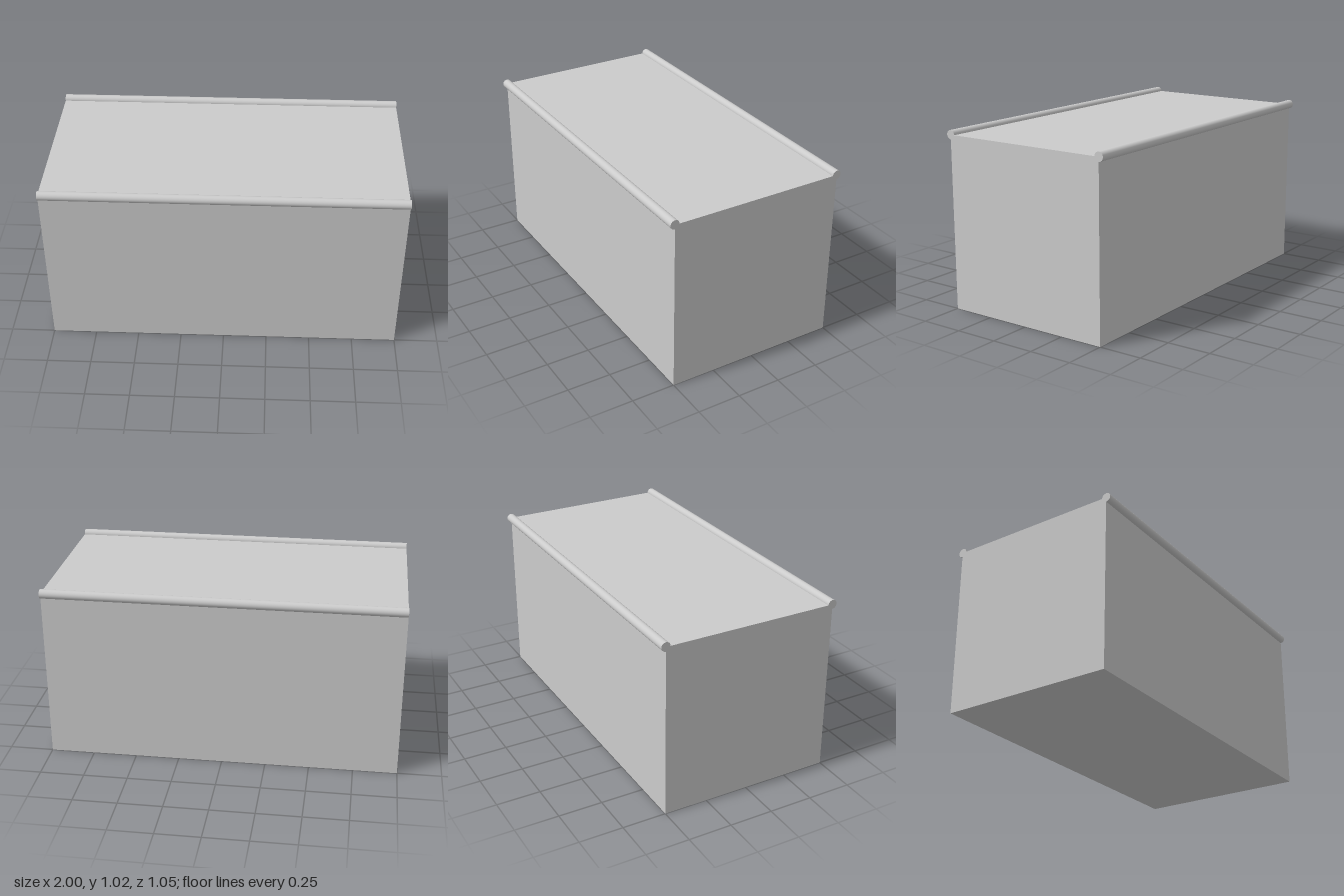
import * as THREE from 'three';

const LENGTH = 2, HEIGHT = 0.99, DEPTH = 1, RAIL_RADIUS = 0.026;

export function createModel() {
  const model = new THREE.Group();
  const material = new THREE.MeshStandardMaterial({ color: 0xcccccc });

  // Solid box body standing on the ground
  const body = new THREE.Mesh(new THREE.BoxGeometry(LENGTH, HEIGHT, DEPTH), material);
  body.name = 'body';
  body.position.y = HEIGHT / 2;
  model.add(body);

  // Round rails centred on the long top edges
  const railGeometry = new THREE.CylinderGeometry(RAIL_RADIUS, RAIL_RADIUS, LENGTH, 32);
  railGeometry.rotateZ(Math.PI / 2);
  for (const [name, side] of [['frontRail', 1], ['backRail', -1]]) {
    const rail = new THREE.Mesh(railGeometry, material);
    rail.name = name;
    rail.position.set(0, HEIGHT, side * DEPTH / 2);
    model.add(rail);
  }

  return model;
}
